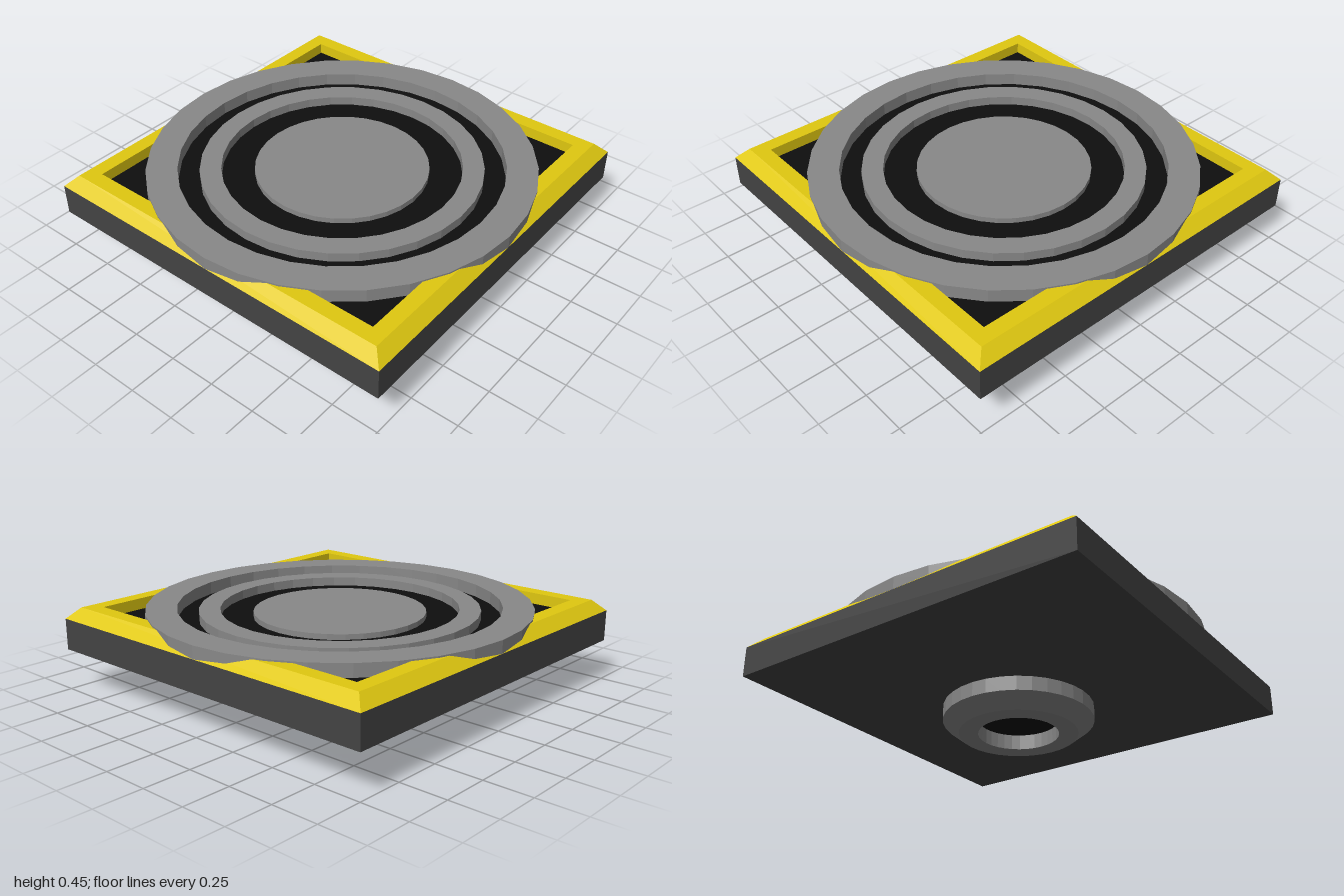
import * as THREE from 'three';

const paint = (color) => new THREE.MeshStandardMaterial({ color, flatShading: true });

export function createModel() {
  const group = new THREE.Group();
  const grey = paint(0x888888);
  const dark = paint(0x444444);
  const black = paint(0x0e0e0e);
  const yellow = paint(0xe0c810);

  // Sweeps a profile of [radius, y] points, listed so that it faces outward
  function turned(name, profile, material, sides = 32) {
    const square = sides === 4;
    const k = square ? Math.SQRT2 : 1; // square radii are half widths
    const points = profile.map(([r, y]) => new THREE.Vector2(r * k, y));
    const geometry = new THREE.LatheGeometry(points, sides, square ? Math.PI / 4 : 0);
    const mesh = new THREE.Mesh(geometry, material);
    mesh.name = name;
    group.add(mesh);
  }

  const deck = 0.382;

  // Square body with a shallow tapered underside
  turned('base', [[0, 0.144], [0.5, 0.144], [1, 0.217], [1, deck]], dark, 4);
  turned('floor', [[0.86, deck], [0, deck]], black, 4);

  // Bevelled square rim
  turned('frame', [[1, deck], [0.94, 0.441], [0.86, 0.441], [0.86, deck]], yellow, 4);

  // Concentric rings and the central disc
  turned('outerRing', [[1, deck], [1, 0.449], [0.84, 0.449], [0.84, deck]], grey);
  turned('middleRing', [[0.73, deck], [0.73, 0.43], [0.62, 0.43], [0.62, deck]], grey);
  turned('centreDisc', [[0.45, deck], [0.45, 0.41], [0, 0.41]], grey);

  // Chamfered boss below, with a blind socket
  turned('boss', [[0.21, 0.08], [0.21, 0], [0.31, 0], [0.395, 0.068], [0.395, 0.144]], grey);
  turned('socketEnd', [[0, 0.08], [0.21, 0.08]], black);

  return group;
}
